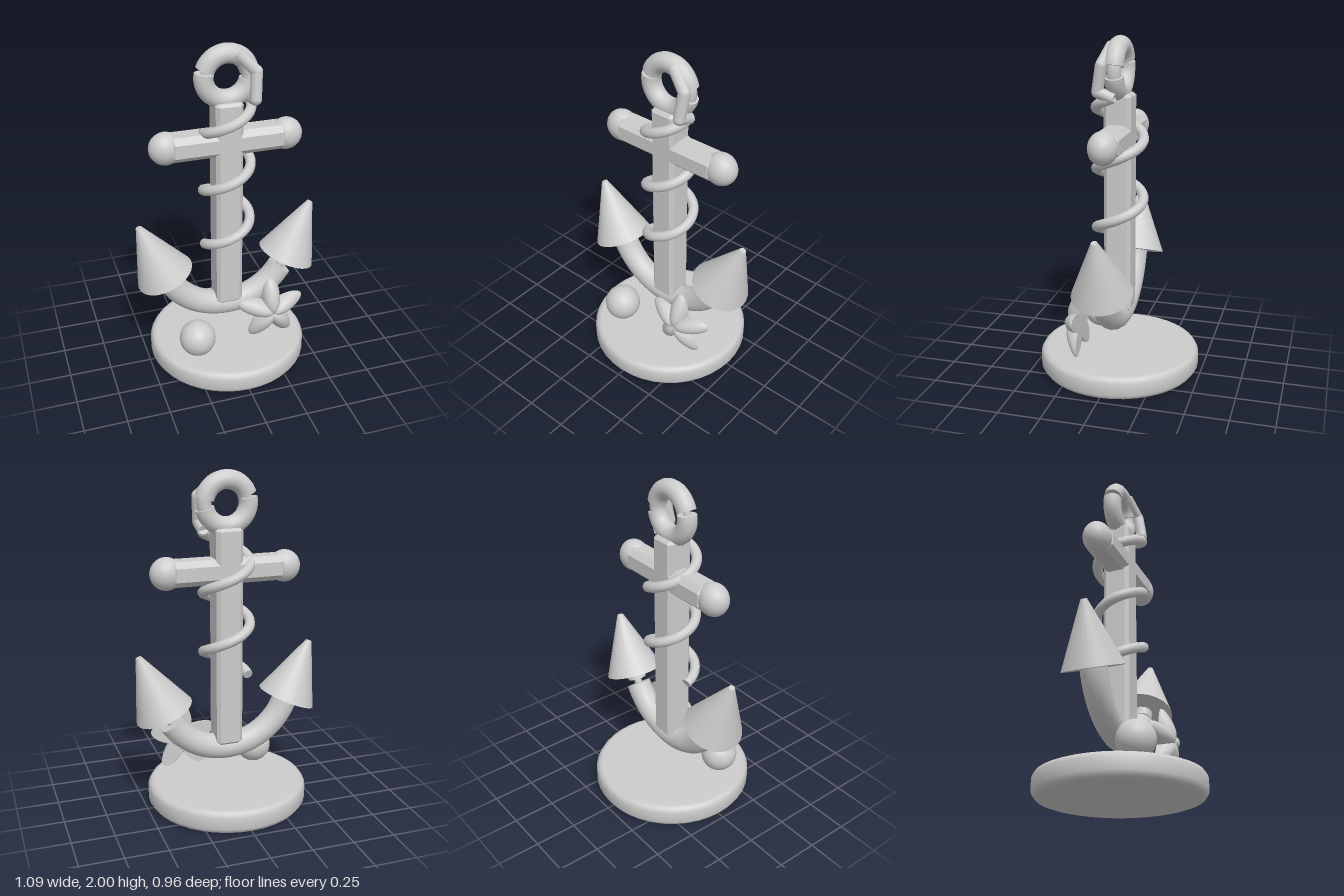
import * as THREE from 'three';

const stone = new THREE.MeshStandardMaterial({ color: 0xcccccc });
stone.name = 'plainGrey';

const V = (x, y, z = 0) => new THREE.Vector3(x, y, z);
const rad = THREE.MathUtils.degToRad;

function add(parent, name, geometry, x = 0, y = 0, z = 0) {
  const mesh = new THREE.Mesh(geometry, stone);
  mesh.name = name;
  mesh.position.set(x, y, z);
  parent.add(mesh);
  return mesh;
}

// Tube along a curve, closed by a disc at each end
function pipe(parent, name, curve, r, steps, sides) {
  const g = new THREE.Group();
  g.name = name;
  add(g, name + 'Body', new THREE.TubeGeometry(curve, steps, r, sides));
  for (const t of [0, 1]) {
    const cap = add(g, name + 'End', new THREE.CircleGeometry(r, sides));
    const p = curve.getPointAt(t);
    cap.position.copy(p);
    cap.lookAt(p.clone().addScaledVector(curve.getTangentAt(t), t ? 1 : -1));
  }
  parent.add(g);
}

// Circular arc in the xy plane, angles in degrees
function arc(cy, R, from, to) {
  const pts = [];
  for (let i = 0; i <= 16; i++) {
    const a = rad(from + ((to - from) * i) / 16);
    pts.push(V(R * Math.cos(a), cy + R * Math.sin(a)));
  }
  return new THREE.CatmullRomCurve3(pts);
}

// Square bar with chamfered edges and ends, centred, running along z
function chamferedBar(halfW, halfH, length, c) {
  const b = 0.015, w = halfW - b, h = halfH - b;
  const pts = [[w - c, -h], [w, c - h], [w, h - c], [w - c, h], [c - w, h], [-w, h - c], [-w, c - h], [c - w, -h]];
  const shape = new THREE.Shape(pts.map(([x, y]) => new THREE.Vector2(x, y)));
  const g = new THREE.ExtrudeGeometry(shape, {
    depth: length - 2 * b, bevelEnabled: true, bevelSize: b, bevelThickness: b, bevelSegments: 1,
  });
  return g.translate(0, 0, b - length / 2);
}

// One starfish arm: an ellipsoid flattened at the back and thinning to the tip
function starArm() {
  const g = new THREE.SphereGeometry(1, 20, 16);
  const p = g.attributes.position;
  for (let i = 0; i < p.count; i++) {
    const y = 0.09 + 0.122 * p.getY(i);
    p.setXYZ(i, 0.056 * p.getX(i), y, Math.max(0, p.getZ(i)) * (0.11 - 0.32 * y));
  }
  g.computeVertexNormals();
  return g;
}

export function createModel() {
  const model = new THREE.Group();
  model.name = 'anchorOrnament';

  // Round base with softened rims
  const rim = [[0, 0], [0.44, 0], [0.462, 0.008], [0.48, 0.035], [0.48, 0.105], [0.465, 0.13], [0.44, 0.14], [0, 0.14]];
  add(model, 'base', new THREE.LatheGeometry(rim.map(([x, y]) => new THREE.Vector2(x, y)), 40));

  // Shank and crossbar
  add(model, 'shank', chamferedBar(0.08, 0.08, 1.3, 0.012).rotateX(Math.PI / 2), 0, 1.03, 0);
  add(model, 'crossbar', chamferedBar(0.073, 0.08, 0.66, 0.025).rotateZ(Math.PI / 2).rotateY(Math.PI / 2), 0, 1.435, 0);

  // Mirrored crossbar knobs and fluke cones
  for (const s of [-1, 1]) {
    add(model, 'crossbarKnob', new THREE.SphereGeometry(0.095, 24, 16), s * 0.355, 1.435, 0).scale.z = 0.88;
    const fluke = add(model, 'fluke', new THREE.CylinderGeometry(0.018, 0.176, 0.373, 24), s * 0.456, 0.788, 0);
    fluke.rotation.z = -s * rad(22.5);
  }

  // Curved arms, the left one broken short of its fluke
  pipe(model, 'arms', arc(0.745, 0.4, 195, 329), 0.076, 32, 16);
  pipe(model, 'brokenArmStub', arc(0.745, 0.4, 334, 345), 0.058, 6, 12);
  pipe(model, 'brokenArmCore', arc(0.745, 0.4, 326, 342), 0.025, 6, 8);

  // Ring in two halves joined by thin cores
  pipe(model, 'ringTop', arc(1.815, 0.13, 12, 160), 0.055, 28, 16);
  pipe(model, 'ringBottom', arc(1.815, 0.13, 168, 348), 0.055, 32, 16);
  pipe(model, 'ringCore', arc(1.815, 0.13, 155, 173), 0.018, 6, 8);
  pipe(model, 'ringBand', arc(1.815, 0.13, -16, 16), 0.042, 8, 12);

  // Rope winding up the shank
  const rope = [];
  const turns = 2.5;
  for (let i = 0; i <= 60; i++) {
    const t = (i / 60) * turns;
    const a = Math.PI + t * 2 * Math.PI;
    rope.push(V(0.137 * Math.cos(a), 0.785 + 0.355 * t, -0.137 * Math.sin(a)));
  }
  pipe(model, 'rope', new THREE.CatmullRomCurve3(rope), 0.03, 140, 10);

  // Loose rope end passing in front of the ring
  const tail = new THREE.CurvePath();
  const bends = [V(0.135, 1.665, 0), V(0.138, 1.7, 0.092), V(0.15, 1.85, 0.066), V(0.05, 1.95, 0.03)];
  for (let i = 0; i < 3; i++) {
    tail.add(new THREE.LineCurve3(bends[i], bends[i + 1]));
    if (i) add(model, 'ropeBend', new THREE.SphereGeometry(0.034, 12, 8), ...bends[i].toArray());
  }
  tail.curves.forEach((c) => pipe(model, 'ropeTail', c, 0.034, 2, 10));

  // Pearl on the base
  add(model, 'pearl', new THREE.SphereGeometry(0.109, 28, 20), -0.24, 0.245, 0.183);

  // Five-armed starfish
  const star = new THREE.Group();
  star.name = 'starfish';
  star.position.set(0.225, 0.357, 0.168);
  for (let i = 0; i < 5; i++) {
    add(star, 'starfishArm', starArm()).rotation.z = (i * 2 * Math.PI) / 5;
  }
  model.add(star);

  return model;
}
